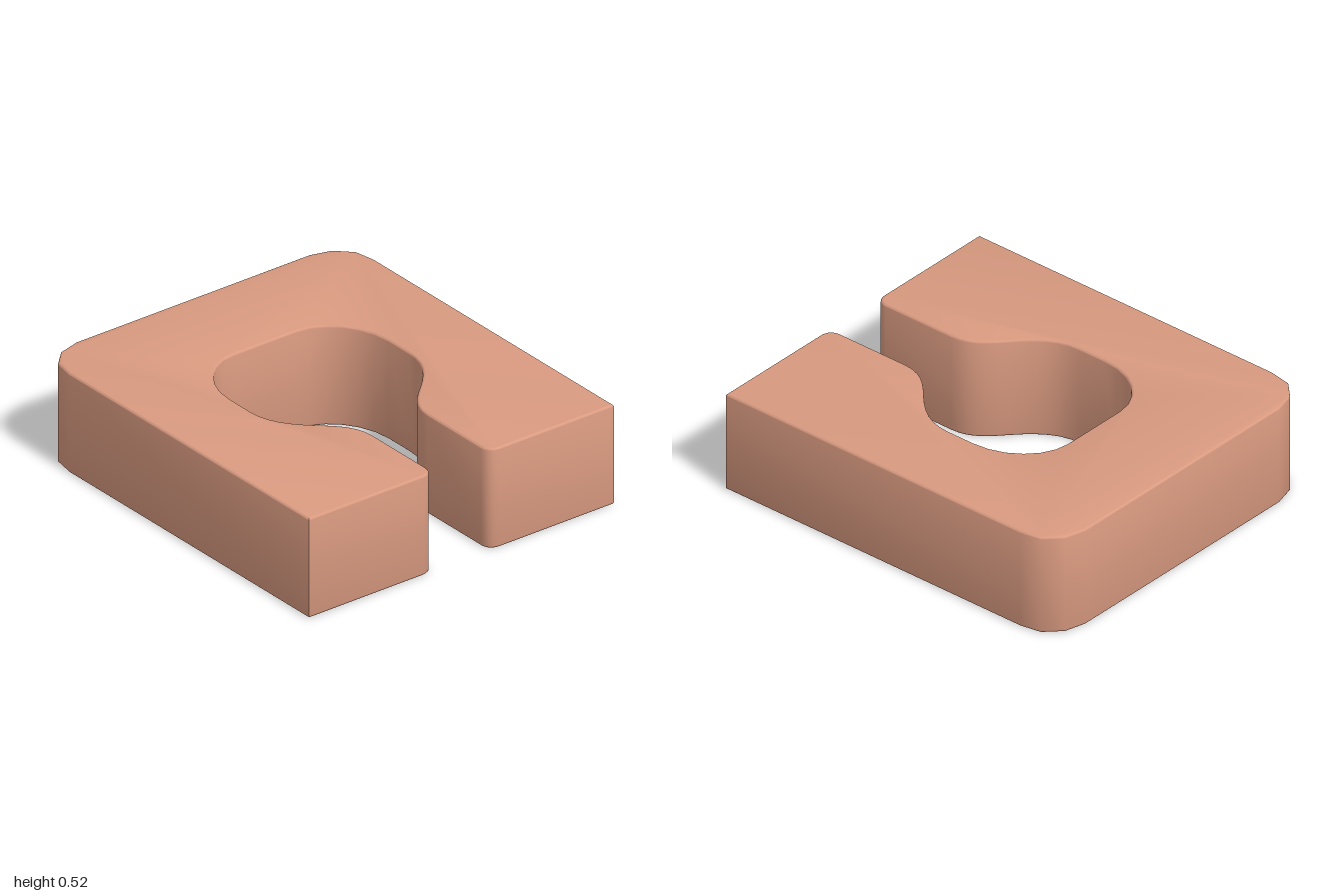
import * as THREE from 'three';
import { toCreasedNormals } from 'three/addons/utils/BufferGeometryUtils.js';

const HEIGHT = 0.52;
const BEVEL = 0.012;

// Plan outline of the +x half (shape y points to the back): from the pocket's back edge to the outer back edge
function halfOutline() {
  const path = new THREE.Path();
  path.moveTo(0.18, 0.46);
  path.bezierCurveTo(0.33, 0.46, 0.46, 0.31, 0.46, 0.13);       // pocket back corner
  path.lineTo(0.46, -0.02);
  path.bezierCurveTo(0.46, -0.14, 0.4, -0.22, 0.3, -0.31);      // pocket narrows
  path.bezierCurveTo(0.22, -0.38, 0.16, -0.44, 0.16, -0.54);    // shoulder into the slot
  path.lineTo(0.16, -0.94);
  path.quadraticCurveTo(0.165, -0.995, 0.22, -1);               // slot mouth
  path.lineTo(0.89, -1);                                        // sharp front corner
  path.lineTo(0.89, 0.78);
  path.lineTo(0.87, 0.89);                                      // faceted back corner
  path.lineTo(0.79, 0.97);
  path.lineTo(0.68, 1);
  return path.getPoints(6);
}

export function createModel() {
  const group = new THREE.Group();
  group.name = 'slottedBlock';

  // Mirror the half outline to close the horseshoe plan
  const half = halfOutline();
  const mirrored = half.map((p) => new THREE.Vector2(-p.x, p.y)).reverse();
  const shape = new THREE.Shape([...half, ...mirrored]);

  const geometry = new THREE.ExtrudeGeometry(shape, {
    depth: HEIGHT - 2 * BEVEL,
    bevelThickness: BEVEL,
    bevelSize: BEVEL,
    bevelOffset: -BEVEL,
    bevelSegments: 3,
  });
  geometry.rotateX(-Math.PI / 2);
  geometry.translate(0, BEVEL, 0);

  const body = new THREE.Mesh(
    toCreasedNormals(geometry, THREE.MathUtils.degToRad(40)),
    new THREE.MeshStandardMaterial({ color: 0xd99a80 })
  );
  body.name = 'body';
  group.add(body);
  return group;
}
